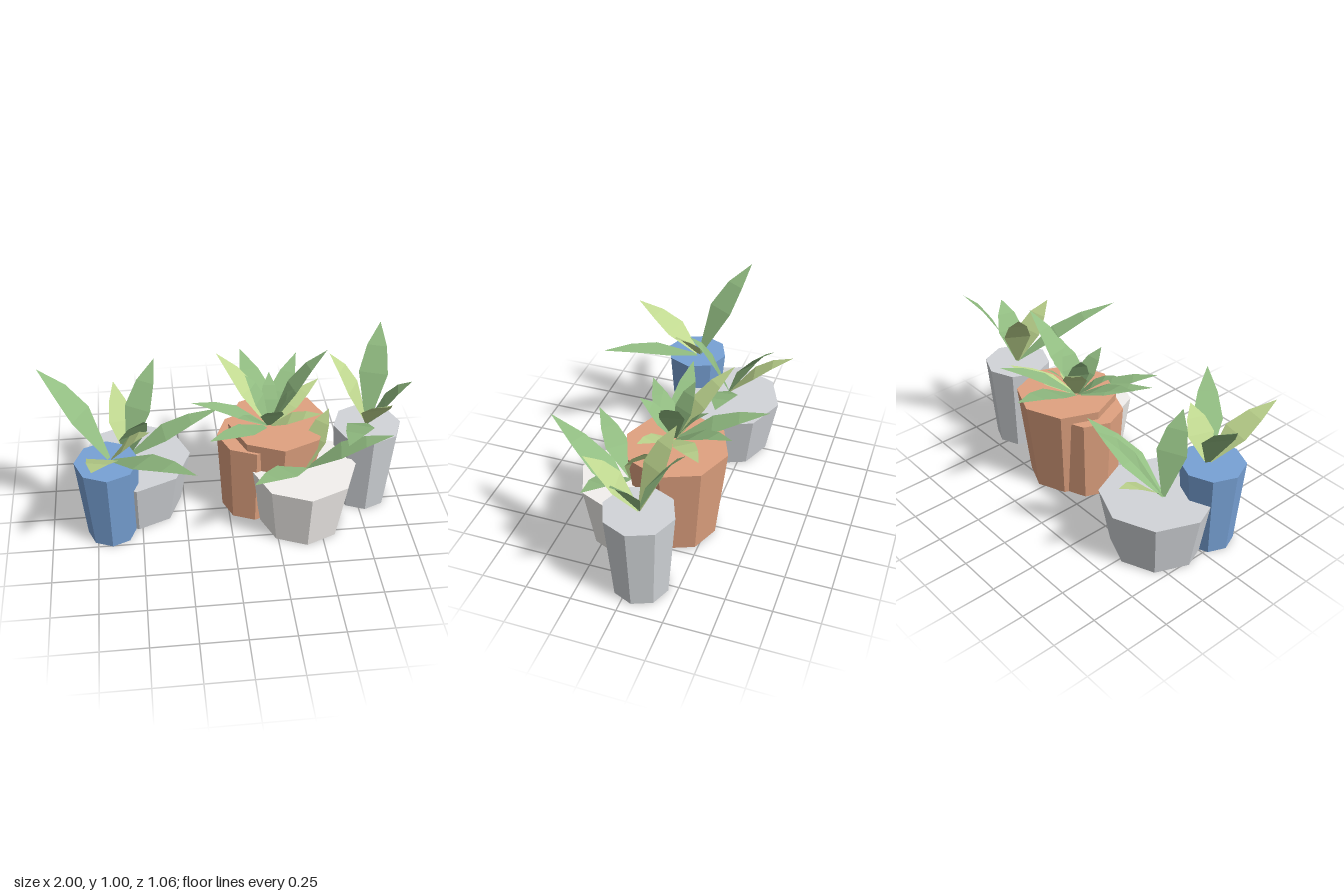
import * as THREE from 'three';

const paint = (color, side = THREE.FrontSide) =>
  new THREE.MeshStandardMaterial({ color, side, flatShading: true });

const BLUE = paint(0x78a2d6), CLAY = paint(0xe0a280), GREY = paint(0xd2d5d9), PALE = paint(0xf4f1ee);
const GREEN = paint(0x92bd82, THREE.DoubleSide), LIME = paint(0xc0d890, THREE.DoubleSide);

// Eight-sided tapered pot: x, z, top radius, bottom radius, height
function pot(name, material, x, z, top, bottom, h) {
  const mesh = new THREE.Mesh(new THREE.CylinderGeometry(top, bottom, h, 8), material);
  mesh.position.set(x, h / 2, z);
  mesh.name = name;
  return mesh;
}

// Flat pointed blade arching from base to tip in a few facets
function leaf(base, tip, halfWidth, material) {
  const a = new THREE.Vector3(...base), b = new THREE.Vector3(...tip);
  const control = a.clone().lerp(b, 0.45);
  control.y = a.y + (b.y - a.y) * 0.74;
  const curve = new THREE.QuadraticBezierCurve3(a, control, b);
  const side = new THREE.Vector3(b.z - a.z, 0, a.x - b.x).normalize();
  const widths = [[0, 0.12], [0.42, 1], [0.7, 0.68], [1, 0]];
  const rows = widths.map(([t, w]) =>
    [-1, 1].map((s) => curve.getPoint(t).addScaledVector(side, s * w * halfWidth)));
  const points = [];
  for (let i = 0; i < rows.length - 1; i++) {
    const [p, q] = rows[i], [s, r] = rows[i + 1];
    points.push(p, q, r);
    if (i < rows.length - 2) points.push(p, r, s);
  }
  const mesh = new THREE.Mesh(new THREE.BufferGeometry().setFromPoints(points), material);
  mesh.geometry.computeVertexNormals();
  mesh.name = 'leaf';
  return mesh;
}

// Tuft of leaves; each entry is tip x, y, z, half width, material
function plant(name, base, leaves) {
  const group = new THREE.Group();
  group.name = name;
  for (const [x, y, z, w, m] of leaves) group.add(leaf(base, [x, y, z], w, m));
  return group;
}

export function createModel() {
  const model = new THREE.Group();
  model.name = 'pottedPlants';

  // Pots
  model.add(
    pot('bluePot', BLUE, -0.67, 0.12, 0.175, 0.135, 0.5),
    pot('wideGreyPot', GREY, -0.52, -0.12, 0.312, 0.25, 0.33),
    pot('largeClayPot', CLAY, 0.285, -0.08, 0.28, 0.22, 0.55),
    pot('smallClayPot', CLAY, 0.14, -0.05, 0.2, 0.17, 0.5),
    pot('paleWidePot', PALE, 0.405, 0.12, 0.292, 0.235, 0.37),
    pot('tallGreyPot', GREY, 0.785, -0.055, 0.19, 0.15, 0.51),
  );

  // Leaves of each pot
  model.add(plant('bluePotPlant', [-0.65, 0.49, 0.1], [
    [-1.0, 0.96, -0.11, 0.085, GREEN],
    [-0.73, 0.745, 0.51, 0.085, LIME],
    [-0.21, 0.7, 0.53, 0.08, GREEN],
    [-0.43, 0.72, 0.18, 0.075, LIME],
  ]));
  model.add(plant('wideGreyPotPlant', [-0.56, 0.33, -0.12], [
    [-0.38, 0.785, -0.42, 0.08, GREEN],
    [-0.62, 0.605, -0.48, 0.07, LIME],
    [-0.03, 0.58, -0.19, 0.08, GREEN],
    [-0.46, 0.73, 0.1, 0.085, GREEN],
  ]));
  model.add(plant('largeClayPotPlant', [0.23, 0.54, -0.05], [
    [0.545, 0.97, -0.12, 0.065, GREEN],
    [-0.04, 0.88, -0.29, 0.065, LIME],
    [-0.2, 0.755, -0.01, 0.065, GREEN],
    [-0.12, 0.65, 0.2, 0.065, GREEN],
    [0.12, 0.745, -0.53, 0.08, GREEN],
    [0.43, 0.77, -0.42, 0.065, GREEN],
    [0.54, 0.68, -0.28, 0.06, LIME],
    [0.1, 0.84, -0.12, 0.06, GREEN],
    [0.24, 0.77, 0.14, 0.065, GREEN],
    [0.36, 0.8, -0.02, 0.06, GREEN],
    [0.5, 0.68, 0.06, 0.06, LIME],
    [0.25, 0.77, -0.24, 0.05, GREEN],
    [0.04, 0.7, 0.08, 0.055, GREEN],
  ]));
  model.add(plant('paleWidePotPlant', [0.42, 0.37, 0.13], [
    [0.09, 0.535, 0.44, 0.07, GREEN],
    [0.87, 0.62, 0.21, 0.075, GREEN],
    [0.55, 0.67, 0.0, 0.065, LIME],
  ]));
  model.add(plant('tallGreyPotPlant', [0.785, 0.51, -0.055], [
    [0.88, 1.0, -0.33, 0.08, GREEN],
    [0.995, 0.815, 0.0, 0.075, GREEN],
    [0.57, 0.91, -0.18, 0.075, LIME],
    [0.82, 0.81, 0.21, 0.085, LIME],
    [0.55, 0.8, 0.5, 0.075, GREEN],
  ]));
  return model;
}
